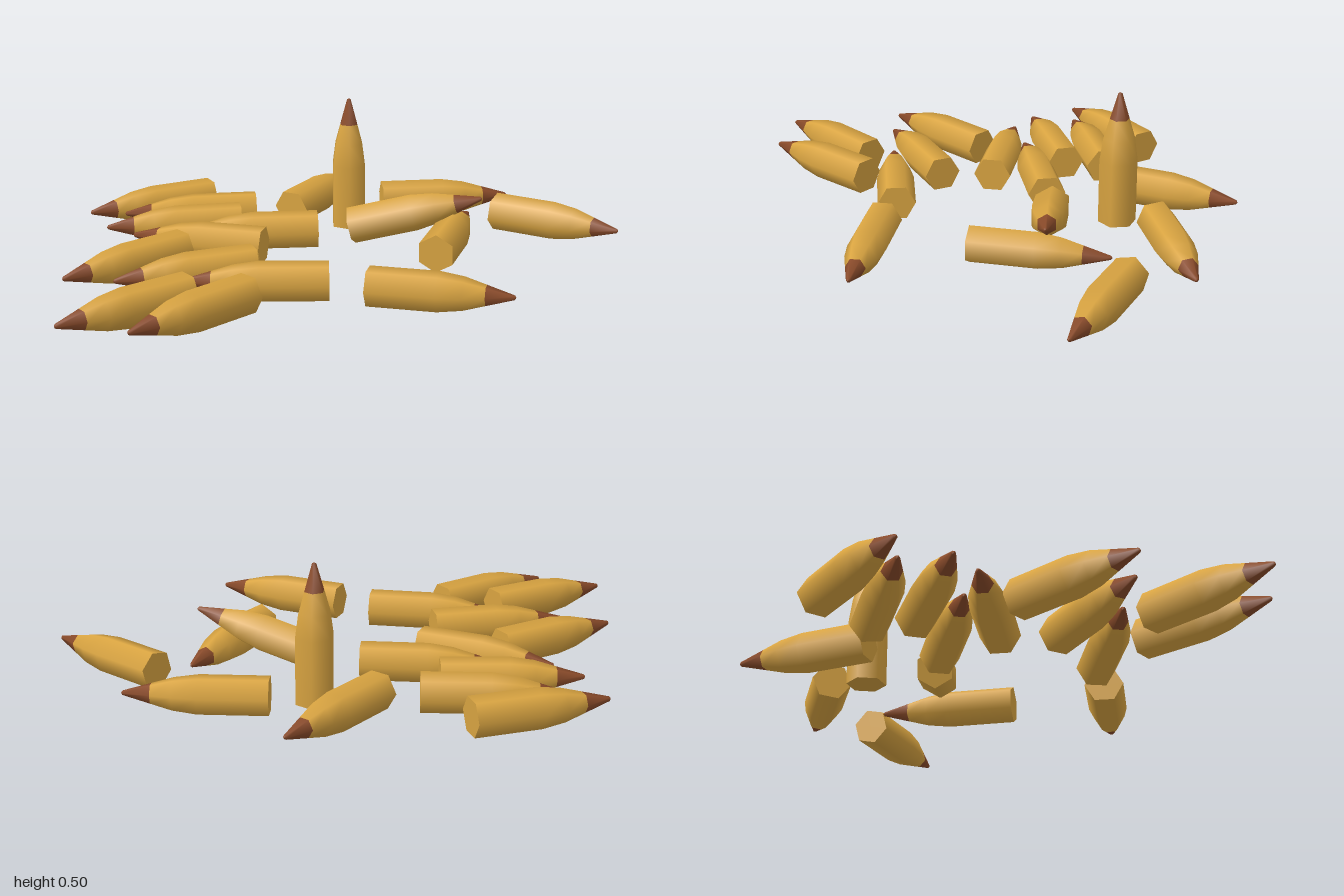
import * as THREE from 'three';

const RADIUS = 0.07, LENGTH = 0.5, SIDES = 6;

const brass = new THREE.MeshStandardMaterial({ color: 0xd9a441 });
const copper = new THREE.MeshStandardMaterial({ color: 0x8a4b2a });

// Six-sided turned form from [radius, height] pairs
const turned = (pts) =>
  new THREE.LatheGeometry(pts.map(([r, y]) => new THREE.Vector2(r, y)), SIDES);

const casingGeo = turned([[RADIUS, 0], [RADIUS, 0.24], [0.058, 0.325], [0.036, 0.4]]);
const tipGeo = turned([[0.036, 0.4], [0.008, 0.495], [0, LENGTH]]);
const baseGeo = new THREE.CircleGeometry(RADIUS, SIDES, Math.PI / 2).rotateX(Math.PI / 2);

// One cartridge standing on its base at the origin
function cartridge(name) {
  const g = new THREE.Group();
  g.name = name;
  const parts = [['casing', casingGeo, brass], ['casingBase', baseGeo, brass], ['bulletTip', tipGeo, copper]];
  for (const [partName, geo, mat] of parts) {
    const mesh = new THREE.Mesh(geo, mat);
    mesh.name = partName;
    g.add(mesh);
  }
  return g;
}

// Lying cartridges: base x, base z, tip x, tip z, roll in degrees, base y, tip y
const LYING = [
  [-0.53, -0.61, -0.98, -0.395],
  [-0.35, -0.425, -0.845, -0.378, 8],
  [-0.405, -0.28, -0.9, -0.213],
  [-0.117, -0.168, -0.62, -0.144],
  [-0.315, 0.016, -0.79, -0.125],
  [-0.603, 0.027, -0.995, 0.341],
  [-0.347, 0.203, -0.82, 0.368],
  [-0.09, 0.39, -0.595, 0.378],
  [-0.56, 0.472, -0.963, 0.768],
  [-0.36, 0.493, -0.728, 0.832],
  [0.037, 0.445, 0.52, 0.579],
  [-0.213, -0.421, 0.04, -0.848],
  [0.144, -0.525, 0.638, -0.565, 8],
  [0.571, -0.354, 0.995, -0.085, 15],
  [0.293, 0.157, 0.456, -0.308, 30, 0.077, 0.077],
  [0.008, -0.17, 0.488, -0.08, 30, 0.08, 0.207], // propped on its neighbour
];

export function createModel() {
  const model = new THREE.Group();
  model.name = 'scatteredCartridges';

  LYING.forEach(([bx, bz, tx, tz, roll = 0, by = 0.07, ty = 0.07], i) => {
    const c = cartridge(`lyingCartridge${i + 1}`);
    const axis = new THREE.Vector3(tx - bx, ty - by, tz - bz).normalize();
    const side = new THREE.Vector3(0, 1, 0).cross(axis).normalize();
    const up = new THREE.Vector3().crossVectors(axis, side);
    c.quaternion.setFromRotationMatrix(new THREE.Matrix4().makeBasis(up, axis, side));
    c.rotateY(THREE.MathUtils.degToRad(roll));
    c.position.set(bx, by, bz);
    model.add(c);
  });

  // The one left standing
  const standing = cartridge('standingCartridge');
  standing.position.set(0.01, 0.007, -0.41);
  model.add(standing);

  return model;
}
